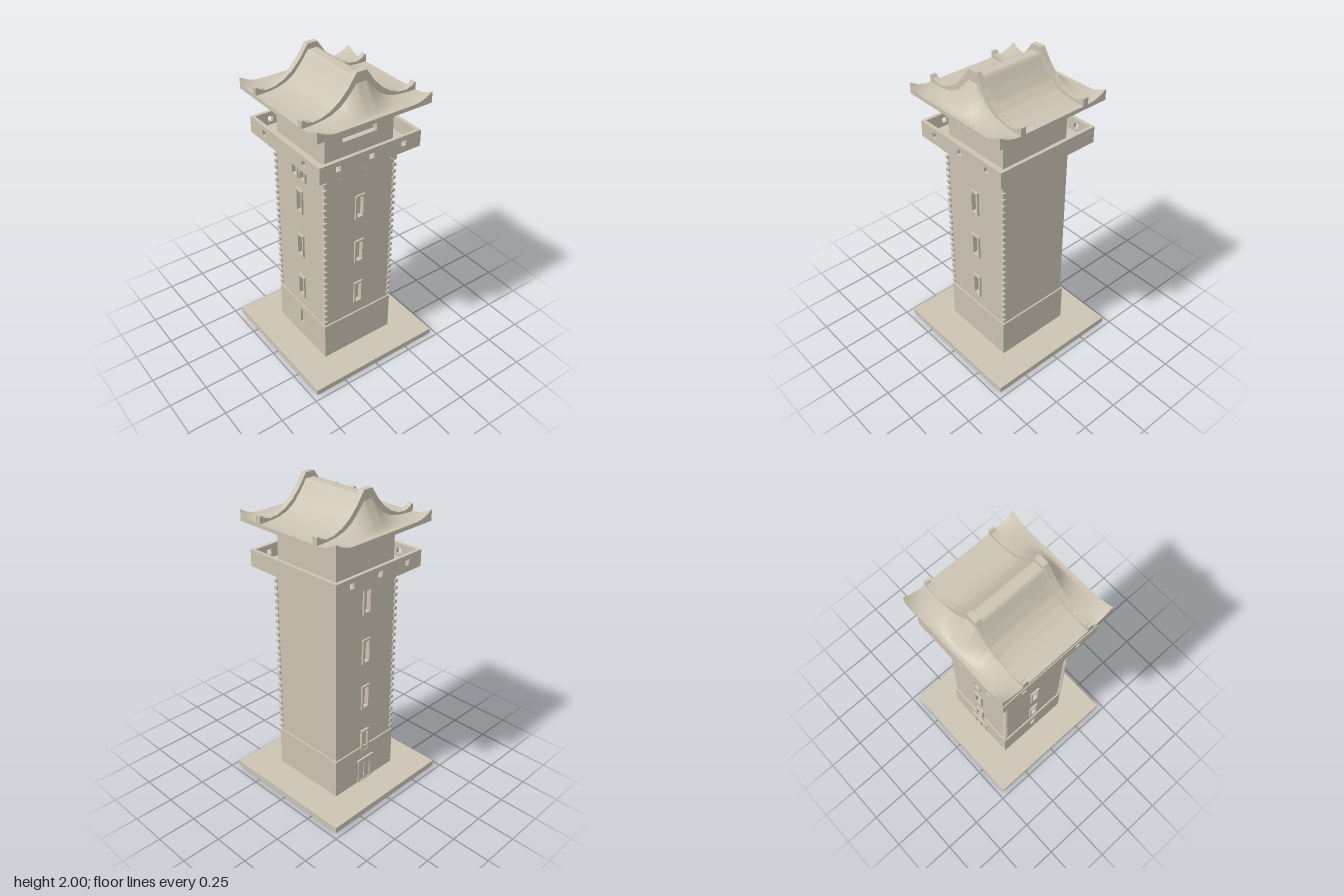
import * as THREE from 'three';

const stone = new THREE.MeshStandardMaterial({ color: 0xcbc3b2 });
stone.name = 'stone';

// Counter-clockwise rectangle centred on cx, cy
function rect(Type, cx, cy, w, h) {
  const p = new Type();
  p.moveTo(cx - w / 2, cy - h / 2);
  p.lineTo(cx + w / 2, cy - h / 2);
  p.lineTo(cx + w / 2, cy + h / 2);
  p.lineTo(cx - w / 2, cy + h / 2);
  p.closePath();
  return p;
}

// Flat panel facing +z from z0 to z1, with rectangular openings [x, y, w, h]
function panel(x, y, w, h, holes, z0, z1) {
  const shape = rect(THREE.Shape, x, y, w, h);
  for (const o of holes) shape.holes.push(rect(THREE.Path, ...o));
  const g = new THREE.ExtrudeGeometry(shape, { depth: z1 - z0, bevelEnabled: false });
  return g.translate(0, 0, z0);
}

function add(parent, name, geometry) {
  const m = new THREE.Mesh(geometry, stone);
  m.name = name;
  parent.add(m);
  return m;
}

function box(parent, name, w, h, d, x, y, z) {
  return add(parent, name, new THREE.BoxGeometry(w, h, d).translate(x, y, z));
}

// Turn a side group so its +z faces front, left (+x), back or right (-x)
const ANGLES = { front: 0, left: Math.PI / 2, back: Math.PI, right: -Math.PI / 2 };
function sideGroup(parent, side) {
  const g = new THREE.Group();
  g.name = side + 'Side';
  g.rotation.y = ANGLES[side];
  parent.add(g);
  return g;
}

// Four walls with openings around a square plan
function shell(parent, name, half, y0, y1, thick, openings) {
  for (const side of Object.keys(ANGLES)) {
    add(sideGroup(parent, side), name,
      panel(0, (y0 + y1) / 2, half * 2, y1 - y0, openings[side] || [], half - thick, half));
  }
}

// Concave main roof section, height against distance from the ridge
const SLOPE = [[0.033, 1.965], [0.08, 1.9], [0.13, 1.843], [0.185, 1.808], [0.24, 1.791], [0.29, 1.784], [0.345, 1.78], [0.4, 1.78]];
function slopeHeight(d) {
  if (d <= SLOPE[0][0]) return SLOPE[0][1];
  for (let i = 1; i < SLOPE.length; i++) {
    const [a, ya] = SLOPE[i - 1], [b, yb] = SLOPE[i];
    if (d <= b) return ya + (yb - ya) * (d - a) / (b - a);
  }
  return 1.78;
}

function roofHeight(x, z) {
  const ax = Math.abs(x), az = Math.abs(z);
  const t = THREE.MathUtils.clamp((ax - 0.23) / 0.13, 0, 1);
  const cx = Math.max(0, (ax - 0.25) / 0.135), cz = Math.max(0, (az - 0.25) / 0.135);
  return 1.78 + (slopeHeight(az) - 1.78) * Math.pow(1 - t, 1.3) + 0.045 * cx * cx * cz * cz;
}

export function createModel() {
  const tower = new THREE.Group();
  tower.name = 'watchtower';

  // Ground slab and plinth
  box(tower, 'groundSlab', 0.93, 0.04, 0.93, 0, 0.02, 0);
  box(tower, 'plinthCore', 0.49, 0.255, 0.49, 0, 0.1725, 0);
  shell(tower, 'plinthWall', 0.26, 0.04, 0.305, 0.02, { front: [[0, 0.203, 0.036, 0.114]] });

  // Shaft with recessed windows
  const regular = [1.137, 0.804, 0.472].map(y => [0, y]);
  const windows = {
    front: [...regular, [-0.04, 1.378], [0.04, 1.378]],
    left: regular,
    right: [[0, 1.335], [0, 1.0], [0, 0.675]],
  };
  const openings = {};
  for (const side in windows) openings[side] = windows[side].map(([x, y]) => [x, y, 0.042, 0.14]);
  box(tower, 'shaftCore', 0.464, 1.2, 0.464, 0, 0.9, 0);
  shell(tower, 'shaftWall', 0.25, 0.3, 1.476, 0.018, openings);
  for (const side in windows) {
    const g = sideGroup(tower, side);
    for (const [x, y] of windows[side]) {
      add(g, 'windowFrame', panel(x, y, 0.066, 0.168, [[x, y, 0.042, 0.14]], 0.245, 0.262));
    }
  }

  // Low window and door on the right side
  const entry = sideGroup(tower, 'right');
  add(entry, 'lowWindowFrame', panel(0, 0.345, 0.066, 0.168, [[0, 0.345, 0.042, 0.14]], 0.245, 0.265));
  add(entry, 'doorFrame', panel(0, 0.122, 0.12, 0.164, [[-0.026, 0.115, 0.036, 0.14], [0.026, 0.115, 0.036, 0.14]], 0.255, 0.267));
  box(entry, 'doorLintel', 0.14, 0.014, 0.018, 0, 0.21, 0.264);

  // Corner stones on three corners
  for (const [sx, sz] of [[1, 1], [1, -1], [-1, 1]]) {
    for (let i = 0; i < 25; i++) {
      box(tower, 'cornerStone', 0.022, 0.02, 0.022, sx * 0.25, 0.335 + i * 0.0455, sz * 0.25);
    }
  }

  // Brackets under the balcony
  for (const [side, xs] of [['front', [-0.2, 0.2]], ['left', [-0.185, 0, 0.185]]]) {
    const g = sideGroup(tower, side);
    for (const x of xs) box(g, 'bracket', 0.036, 0.036, 0.08, x, 1.458, 0.285);
  }

  // Balcony floor and parapet with small square ports
  box(tower, 'balconyFloor', 0.7, 0.02, 0.7, 0, 1.485, 0);
  const port = x => [x, 1.533, 0.034, 0.034];
  const sidePorts = [-0.228, 0, 0.228].map(port);
  shell(tower, 'parapetWall', 0.352, 1.475, 1.58, 0.022, {
    front: [-0.2, 0.2].map(port), left: sidePorts, right: sidePorts,
  });

  // Lookout room with wide recessed openings
  box(tower, 'lookoutCore', 0.41, 0.27, 0.41, 0, 1.625, 0);
  shell(tower, 'lookoutWall', 0.24, 1.49, 1.76, 0.035, {
    front: [[0, 1.638, 0.29, 0.067]], left: [[0, 1.638, 0.24, 0.067]],
  });

  // Curved roof: a slab whose top follows the roof section
  const roof = new THREE.BoxGeometry(0.77, 0.025, 0.77, 70, 1, 70);
  const p = roof.attributes.position;
  for (let i = 0; i < p.count; i++) {
    p.setY(i, p.getY(i) < 0 ? 1.755 : roofHeight(p.getX(i), p.getZ(i)));
  }
  roof.computeVertexNormals();
  add(tower, 'roof', roof);

  // Swept gable ridges with upturned ends
  const half = [[0.033, 2.0], [0.085, 1.926], [0.14, 1.868], [0.2, 1.826], [0.26, 1.803], [0.315, 1.797], [0.36, 1.812], [0.37, 1.825], [0.385, 1.825]];
  const outline = new THREE.Shape([
    [0.385, 1.757], ...half.slice().reverse(), ...half.map(([z, y]) => [-z, y]), [-0.385, 1.757],
  ].map(([z, y]) => new THREE.Vector2(z, y)));
  for (const x of [-0.2275, 0.2275]) {
    const g = new THREE.ExtrudeGeometry(outline, { depth: 0.035, bevelEnabled: false });
    g.translate(0, 0, -0.0175).rotateY(Math.PI / 2).translate(x, 0, 0);
    add(tower, 'gableRidge', g);
  }
  return tower;
}
